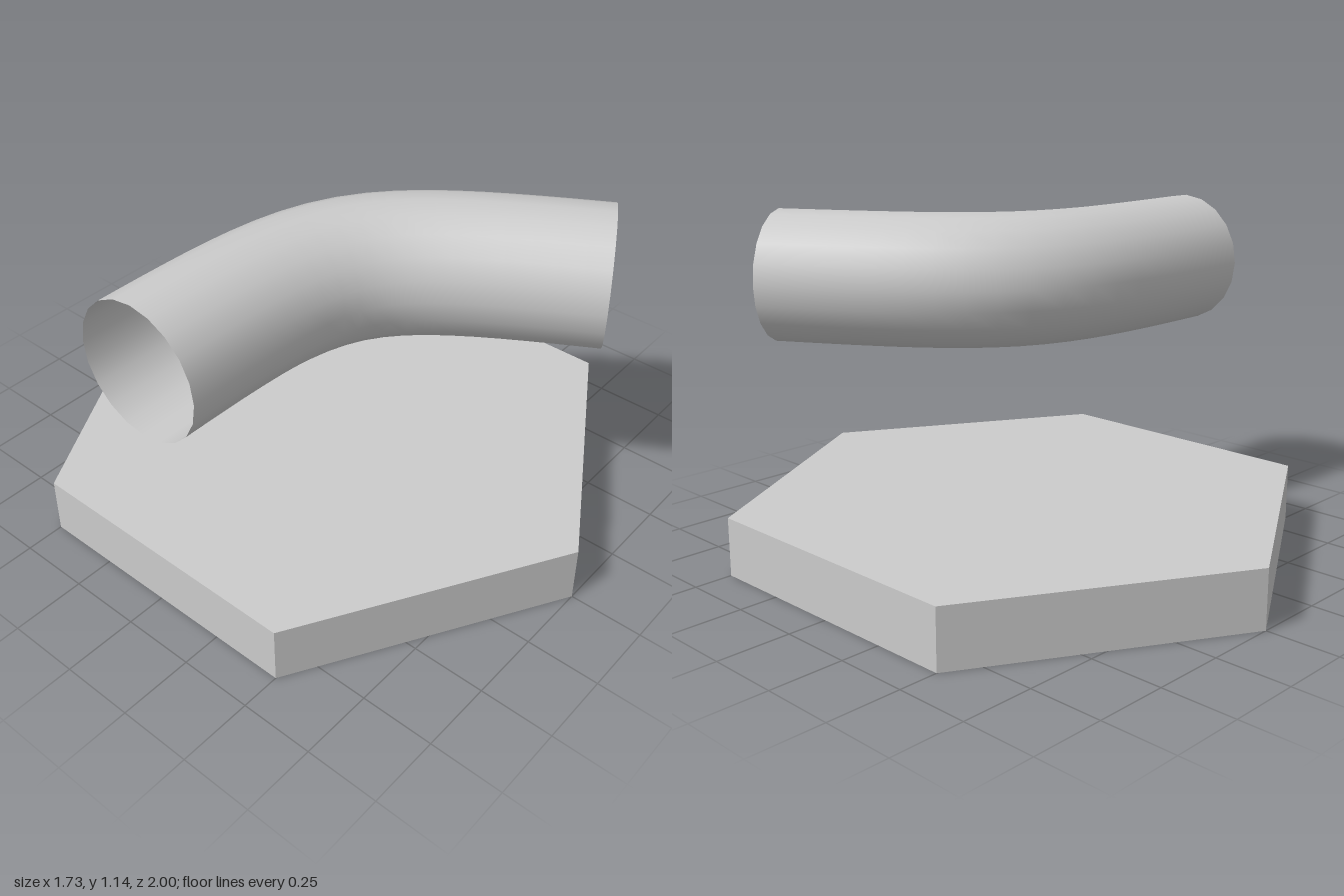
import * as THREE from 'three';

export function createModel() {
  const group = new THREE.Group();
  const grey = { color: 0xcccccc };

  // Hexagonal base slab, corners pointing to front and back
  const base = new THREE.Mesh(
    new THREE.CylinderGeometry(1, 1, 0.2, 6),
    new THREE.MeshStandardMaterial({ ...grey, flatShading: true })
  );
  base.name = 'hexBase';
  base.position.y = 0.1;
  group.add(base);

  // Open bent pipe joining the middles of two hexagon sides
  const start = new THREE.Vector3(-0.866, 0, 0);
  const end = new THREE.Vector3(0.433, 0, 0.75);
  const path = new THREE.CubicBezierCurve3(
    start,
    start.clone().multiplyScalar(0.06),
    end.clone().multiplyScalar(0.06),
    end
  );
  const pipe = new THREE.Mesh(
    new THREE.TubeGeometry(path, 20, 0.23, 20, false),
    new THREE.MeshStandardMaterial({ ...grey, side: THREE.DoubleSide })
  );
  pipe.name = 'bentPipe';
  pipe.position.y = 0.915;
  group.add(pipe);

  return group;
}
